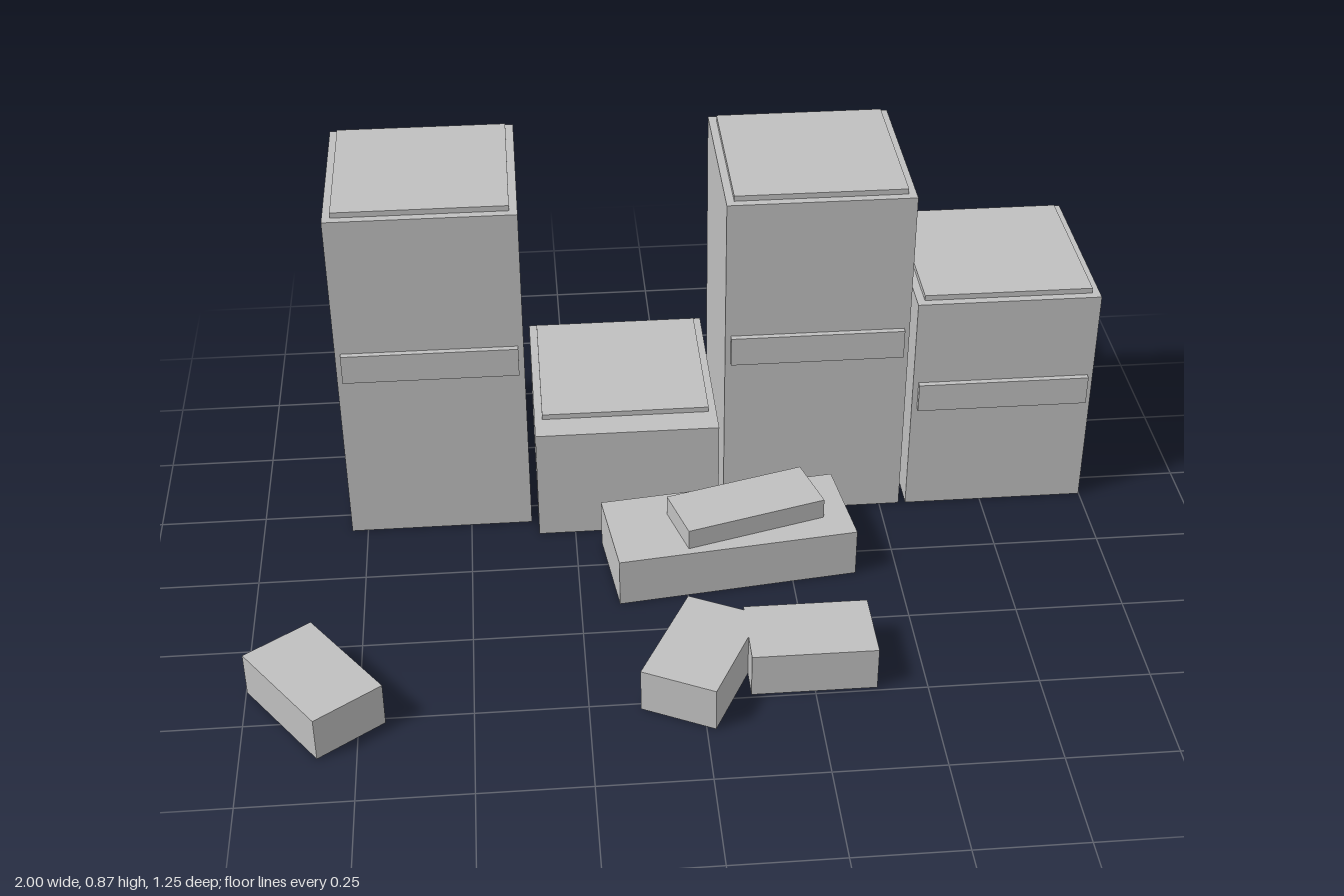
import * as THREE from 'three';

export function createModel() {
  const model = new THREE.Group();
  model.name = 'blockCluster';
  const grey = new THREE.MeshStandardMaterial({ color: 0xc0c0c0 });
  grey.name = 'light grey';

  // Box standing on height y, turned about the vertical by deg
  function block(parent, name, [w, h, d], [x, y, z], deg = 0) {
    const mesh = new THREE.Mesh(new THREE.BoxGeometry(w, h, d), grey);
    mesh.name = name;
    mesh.position.set(x, y + h / 2, z);
    mesh.rotation.y = THREE.MathUtils.degToRad(deg);
    parent.add(mesh);
  }

  // Row of towers with inset roof caps
  const back = -0.63, front = -0.185;
  const depth = front - back, midZ = (front + back) / 2;
  const towers = [
    { x: -0.571, height: 0.852, band: 0.435 },
    { x: -0.12, height: 0.285 },
    { x: 0.331, height: 0.852, band: 0.435 },
    { x: 0.782, height: 0.568, band: 0.28 },
  ];
  towers.forEach(({ x, height, band }, i) => {
    const tower = new THREE.Group();
    tower.name = `tower${i + 1}`;
    // The low tower reaches further forward
    const extra = band ? 0 : 0.05;
    block(tower, 'towerBody', [0.434, height, depth + extra], [x, 0, midZ + extra / 2]);
    block(tower, 'roofCap', [0.397, 0.013, 0.405], [x, height, midZ]);
    // Raised band across the front
    if (band) block(tower, 'frontBand', [0.408, 0.072, 0.014], [x, band, front + 0.007]);
    model.add(tower);
  });

  // Stacked slabs in front of the towers
  block(model, 'lowerSlab', [0.565, 0.12, 0.238], [0.106, 0, -0.002], 7);
  block(model, 'upperSlab', [0.34, 0.05, 0.144], [0.147, 0.12, -0.005], 16);

  // Loose blocks on the ground
  const loose = [0.28, 0.106, 0.176];
  block(model, 'looseBlockRight', loose, [0.248, 0, 0.403]);
  block(model, 'looseBlockMiddle', loose, [0.004, 0, 0.431], 63.4);
  block(model, 'looseBlockLeft', loose, [-0.845, 0, 0.451], -54.3);

  return model;
}
